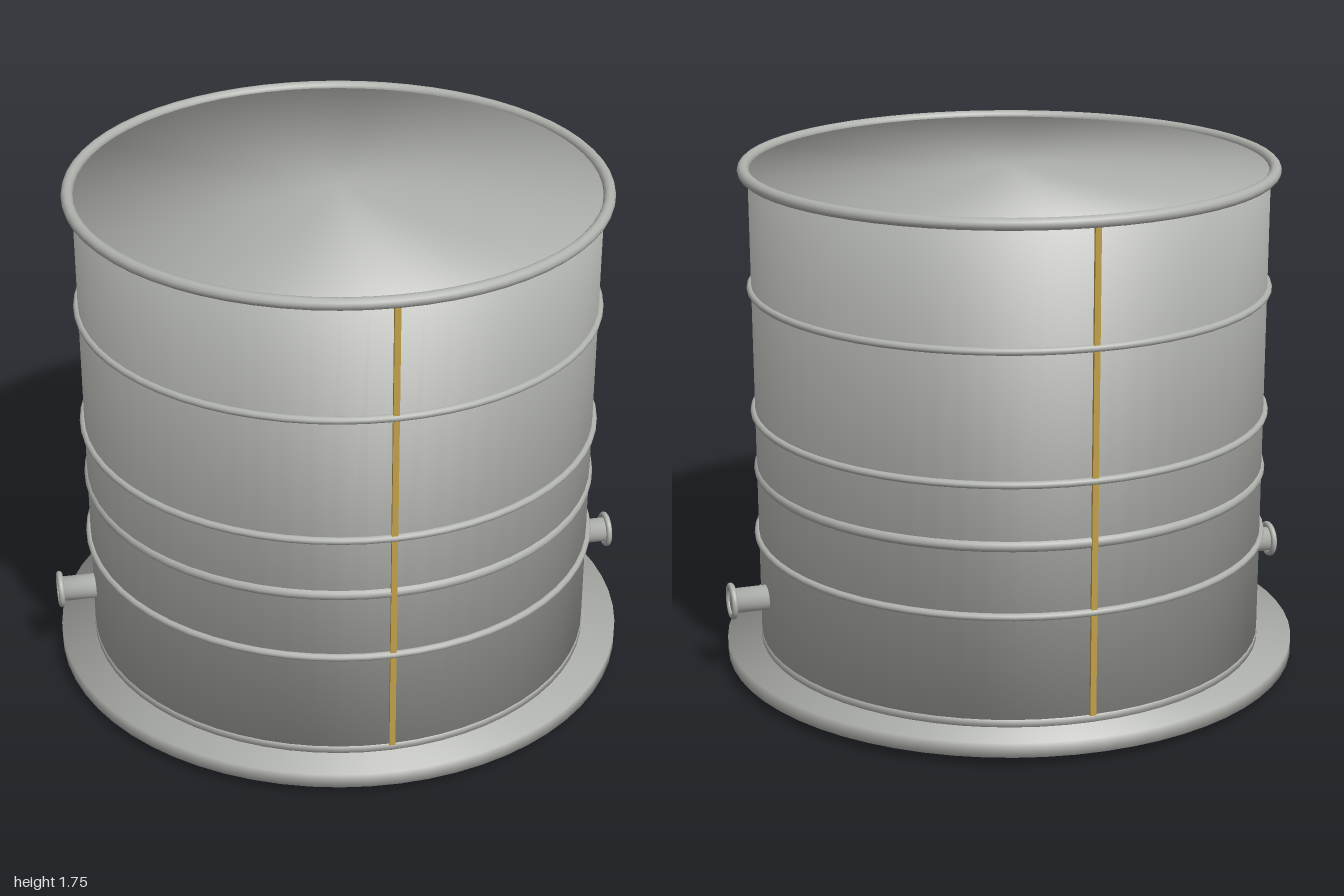
import * as THREE from 'three';

const steel = new THREE.MeshStandardMaterial({ color: 0xb0b2ad });
steel.name = 'steel grey';
const brass = new THREE.MeshStandardMaterial({ color: 0xc2a04a });
brass.name = 'brass yellow';

// Closed cylinder whose shading runs smoothly over the rim into the caps
function softCylinder(radius, height, segments) {
  const geo = new THREE.CylinderGeometry(radius, radius, height, segments);
  const pos = geo.attributes.position;
  const n = new THREE.Vector3();
  for (let i = 0; i < pos.count; i++) {
    const x = pos.getX(i) / radius, z = pos.getZ(i) / radius;
    n.set(1.5 * x, Math.sign(pos.getY(i)), 1.5 * z).normalize();
    geo.attributes.normal.setXYZ(i, n.x, n.y, n.z);
  }
  return geo;
}

export function createModel() {
  const tank = new THREE.Group();
  tank.name = 'tank';

  const add = (name, geo, material, x, y, z, parent = tank) => {
    const mesh = new THREE.Mesh(geo, material);
    mesh.name = name;
    mesh.position.set(x, y, z);
    parent.add(mesh);
    return mesh;
  };
  const drum = (name, radius, y0, y1, segments = 64) =>
    add(name, softCylinder(radius, y1 - y0, segments), steel, 0, (y0 + y1) / 2, 0);
  const hoop = (name, radius, tube, y) => {
    const mesh = add(name, new THREE.TorusGeometry(radius, tube, 12, 64), steel, 0, y, 0);
    mesh.rotation.x = Math.PI / 2;
  };

  // Base and body
  drum('drainStub', 0.025, 0, 0.035, 16);
  drum('basePlate', 0.99, 0.03, 0.08);
  drum('bottomRing', 0.872, 0.08, 0.105);
  drum('body', 0.87, 0.1, 1.73);

  // Top rim and stiffening hoops
  hoop('topRim', 0.885, 0.02, 1.73);
  for (const y of [0.46, 0.9, 1.33]) hoop('hoop', 0.873, 0.0125, y);
  hoop('thickHoop', 0.86, 0.02, 0.695);

  // Vertical seams, front and back
  for (const side of [1, -1]) {
    add('seam', new THREE.BoxGeometry(0.02, 1.62, 0.018), brass, 0, 0.915, side * 0.871);
  }

  // Side nozzles with a rolled lip
  for (const side of [1, -1]) {
    const nozzle = new THREE.Group();
    nozzle.name = side > 0 ? 'leftNozzle' : 'rightNozzle';
    nozzle.position.set(side * 0.85, 0.285, 0);
    nozzle.rotation.z = -side * Math.PI / 2;
    add('pipe', softCylinder(0.043, 0.14, 24), steel, 0, 0.07, 0, nozzle);
    const lip = add('lip', new THREE.TorusGeometry(0.053, 0.0105, 10, 32), steel, 0, 0.1395, 0, nozzle);
    lip.rotation.x = Math.PI / 2;
    tank.add(nozzle);
  }

  return tank;
}
